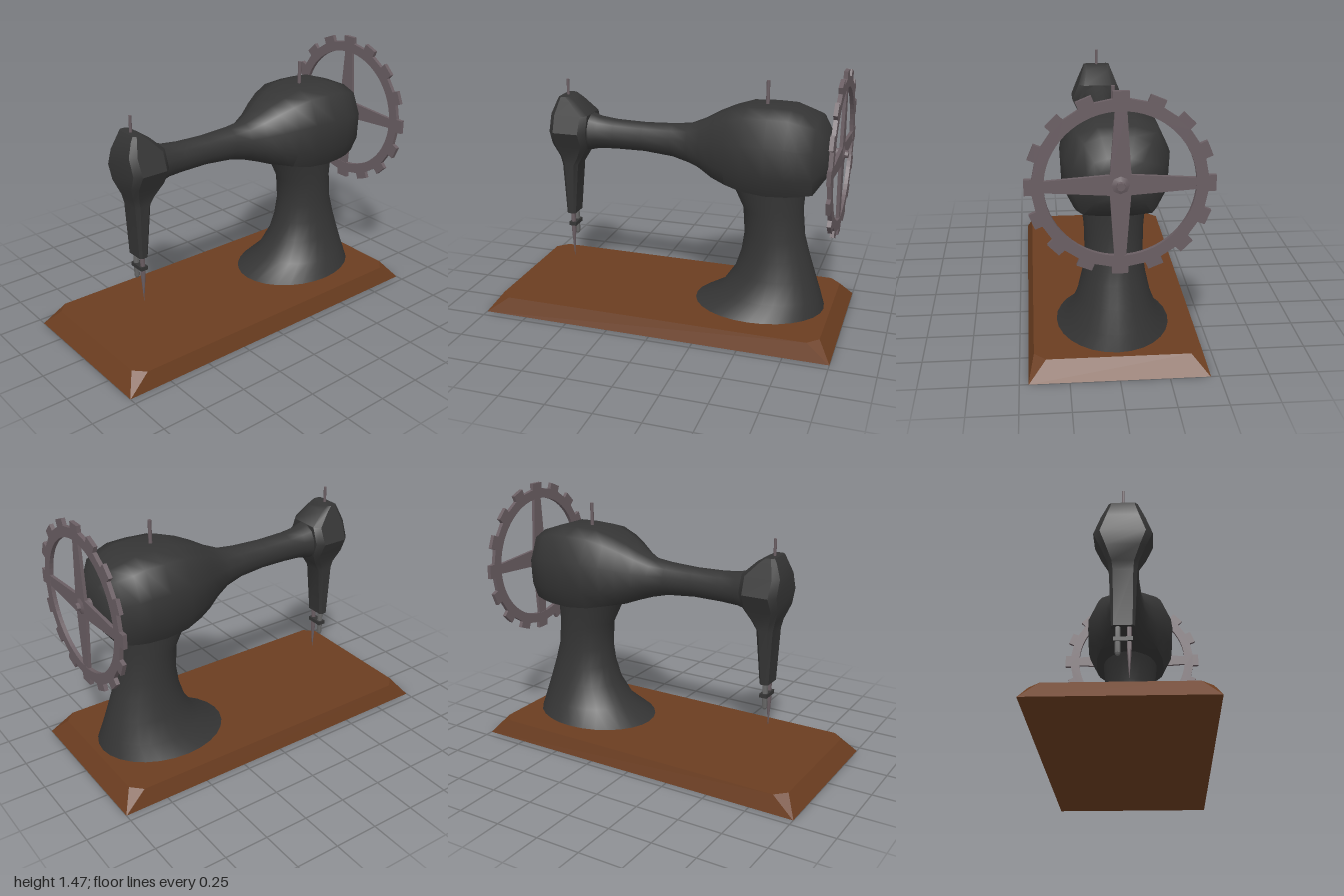
import * as THREE from 'three';
import { toCreasedNormals, mergeGeometries } from 'three/addons/utils/BufferGeometryUtils.js';

const paint = (color) => new THREE.MeshStandardMaterial({ color });
const black = paint(0x353535), wood = paint(0x6b3d20), iron = paint(0x6a5e63), steel = paint(0x6a6a6a);

// Skin closed counter-clockwise outlines stacked along z: sections = [{ h, pts: [[u, v], ...] }]
function loft(sections, crease) {
  const n = sections[0].pts.length, pos = [], idx = [];
  for (const { h, pts } of sections) for (const [u, v] of pts) pos.push(u, v, h);
  for (let i = 0; i < sections.length - 1; i++) {
    for (let j = 0; j < n; j++) {
      const k = (j + 1) % n, a = i * n + j, b = i * n + k;
      idx.push(a, b, b + n, a, b + n, a + n);
    }
  }
  // flat end caps
  const last = (sections.length - 1) * n;
  for (let j = 1; j < n - 1; j++) idx.push(0, j + 1, j, last, last + j, last + j + 1);
  const geo = new THREE.BufferGeometry();
  geo.setAttribute('position', new THREE.Float32BufferAttribute(pos, 3));
  geo.setIndex(idx);
  return toCreasedNormals(geo, crease);
}

// Same, stacked along y (outline v runs towards -z)
const loftUp = (sections, crease) => loft(sections, crease).rotateX(-Math.PI / 2);

// Rectangle with cut corners: half width, z range, cut size
function cutRect(hx, z0, z1, c) {
  const lo = -z1, hi = -z0;
  return [[hx, lo + c], [hx, hi - c], [hx - c, hi], [c - hx, hi], [-hx, hi - c], [-hx, lo + c], [c - hx, lo], [hx - c, lo]];
}

// Twelve-sided outline blended from a circle (0) to a boxy shoulder (1)
const BOXY = [[0.37, -1], [0.78, -0.95], [0.97, -0.5], [1, 0.25], [0.76, 0.85], [0.37, 1]];
function bodyOutline(hx, y0, y1, blend) {
  const cy = (y0 + y1) / 2, hy = (y1 - y0) / 2;
  const half = BOXY.map(([bx, by], i) => {
    const t = (-75 + 30 * i) * Math.PI / 180;
    return [
      hx * THREE.MathUtils.lerp(Math.cos(t), bx, blend),
      cy + hy * THREE.MathUtils.lerp(Math.sin(t) / Math.sin(Math.PI * 75 / 180), by, blend),
    ];
  });
  return [...half, ...half.slice().reverse().map(([x, y]) => [-x, y])];
}

function ellipse(hx, z0, z1, n = 28) {
  return Array.from({ length: n }, (_, i) => {
    const t = i / n * Math.PI * 2;
    return [hx * Math.cos(t), -(z0 + z1) / 2 + (z1 - z0) / 2 * Math.sin(t)];
  });
}

// Turned rod from [radius, y] pairs, top to bottom order not required
const turned = (profile, sides = 10) =>
  toCreasedNormals(new THREE.LatheGeometry(profile.map(([r, y]) => new THREE.Vector2(r, y)), sides), 0.7);

function wheelGeometry() {
  const teeth = 16, rimOut = 0.415, rimIn = 0.357, tip = 0.45, hw = 0.039;
  // toothed rim
  const rim = new THREE.Shape();
  for (let i = 0; i < teeth; i++) {
    const a = i / teeth * Math.PI * 2, c = Math.cos(a), s = Math.sin(a);
    const put = (r, w) => [r * c - w * s, r * s + w * c];
    const corners = [put(rimOut - 0.002, -hw), put(tip, -hw), put(tip, hw), put(rimOut - 0.002, hw)];
    corners.forEach(([x, y], k) => (i + k === 0 ? rim.moveTo(x, y) : rim.lineTo(x, y)));
  }
  rim.closePath();
  const hole = new THREE.Path();
  hole.absarc(0, 0, rimIn, 0, Math.PI * 2, true);
  rim.holes.push(hole);
  // four spokes, tapering outward, as one cross
  const cross = new THREE.Shape();
  for (let i = 0; i < 4; i++) {
    const a = i * Math.PI / 2, c = Math.cos(a), s = Math.sin(a);
    [[0.05, -0.05], [0.365, -0.028], [0.365, 0.028]].forEach(([r, w], k) => {
      const x = r * c - w * s, y = r * s + w * c;
      if (i + k === 0) cross.moveTo(x, y); else cross.lineTo(x, y);
    });
  }
  cross.closePath();
  const solid = (shape, depth) =>
    new THREE.ExtrudeGeometry(shape, { depth, bevelEnabled: false, curveSegments: 32 }).translate(0, 0, -depth / 2);
  return mergeGeometries([solid(rim, 0.022), solid(cross, 0.018)]);
}

export function createModel() {
  const model = new THREE.Group();
  const add = (name, geo, mat, x = 0, y = 0, z = 0) => {
    const mesh = new THREE.Mesh(geo, mat);
    mesh.name = name;
    mesh.position.set(x, y, z);
    model.add(mesh);
    return mesh;
  };

  // Wooden base with sloping sides and cut top corners
  add('base', loftUp([
    { h: 0, pts: cutRect(0.455, -1, 1, 0.002) },
    { h: 0.095, pts: cutRect(0.425, -0.93, 0.93, 0.06) },
  ], 0.2), wood);

  // Flared pillar: y, half width, back z, front z
  add('pillar', loftUp([
    [0.09, 0.303, -0.893, -0.14], [0.18, 0.235, -0.868, -0.295], [0.30, 0.19, -0.83, -0.375],
    [0.41, 0.165, -0.795, -0.41], [0.52, 0.15, -0.765, -0.425], [0.67, 0.153, -0.75, -0.415],
    [0.80, 0.167, -0.758, -0.35], [0.87, 0.175, -0.765, -0.32],
  ].map(([h, hx, z0, z1]) => ({ h, pts: ellipse(hx, z0, z1) })), 1), black);

  // Bulbous body running into the slim arm: z, half width, bottom, top, boxiness
  add('bodyAndArm', loft([
    [-0.893, 0.12, 0.93, 1.07, 0.8], [-0.875, 0.155, 0.89, 1.12, 0.9], [-0.82, 0.215, 0.81, 1.21, 1],
    [-0.74, 0.255, 0.802, 1.235, 1], [-0.68, 0.268, 0.797, 1.255, 1], [-0.57, 0.272, 0.792, 1.258, 1],
    [-0.44, 0.26, 0.803, 1.253, 1], [-0.34, 0.225, 0.82, 1.222, 0.9], [-0.26, 0.185, 0.835, 1.187, 0.7],
    [-0.18, 0.138, 0.865, 1.143, 0.4], [-0.10, 0.102, 0.892, 1.11, 0.1], [0, 0.086, 0.918, 1.1, 0],
    [0.17, 0.076, 0.933, 1.093, 0], [0.34, 0.079, 0.932, 1.097, 0], [0.44, 0.086, 0.927, 1.108, 0],
    [0.48, 0.1, 0.918, 1.122, 0], [0.53, 0.105, 0.91, 1.13, 0],
  ].map(([h, hx, y0, y1, b]) => ({ h, pts: bodyOutline(hx, y0, y1, b) })), 0.9), black);

  // Needle head narrowing downwards: y, half width, back z, front z, corner cut
  add('head', loftUp([
    [0.515, 0.06, 0.597, 0.65, 0.012], [0.82, 0.073, 0.57, 0.665, 0.02], [0.87, 0.08, 0.54, 0.677, 0.022],
    [0.95, 0.118, 0.495, 0.707, 0.028], [1.03, 0.155, 0.49, 0.71, 0.035], [1.125, 0.117, 0.49, 0.71, 0.032],
    [1.2, 0.087, 0.57, 0.68, 0.022], [1.225, 0.077, 0.608, 0.667, 0.015],
  ].map(([h, hx, z0, z1, c]) => ({ h, pts: cutRect(hx, z0, z1, c) })), 0.6), black);

  // Thread pins on head and body
  add('headPin', new THREE.CylinderGeometry(0.008, 0.008, 0.13, 10), iron, 0, 1.25, 0.638);
  add('spoolPin', new THREE.CylinderGeometry(0.01, 0.01, 0.17, 10), iron, 0, 1.3, -0.53);

  // Needle, presser bar and the clamp joining them
  add('needle', turned([[0, 0.235], [0.004, 0.28], [0.011, 0.37], [0.013, 0.4], [0.013, 0.53]]), iron, 0.031, 0, 0.62);
  add('presserBar', turned([[0, 0.36], [0.009, 0.363], [0.015, 0.375], [0.015, 0.53]]), steel, -0.027, 0, 0.622);
  add('needleClamp', new THREE.BoxGeometry(0.098, 0.022, 0.044), black, 0, 0.445, 0.62);

  // Toothed hand wheel with its hub and axle
  add('handWheel', wheelGeometry(), iron, 0, 1.015, -0.94);
  const hub = turned([[0, -0.05], [0.028, -0.05], [0.028, -0.01], [0.044, 0], [0.044, 0.014],
    [0.022, 0.022], [0.02, 0.04], [0, 0.04]], 8);
  add('wheelHub', hub.rotateX(-Math.PI / 2), iron, 0, 1.015, -0.935).scale.z = 1;
  const axle = new THREE.CylinderGeometry(0.03, 0.03, 0.08, 8).rotateX(Math.PI / 2);
  add('wheelAxle', axle, iron, 0, 1.015, -0.89);

  return model;
}
